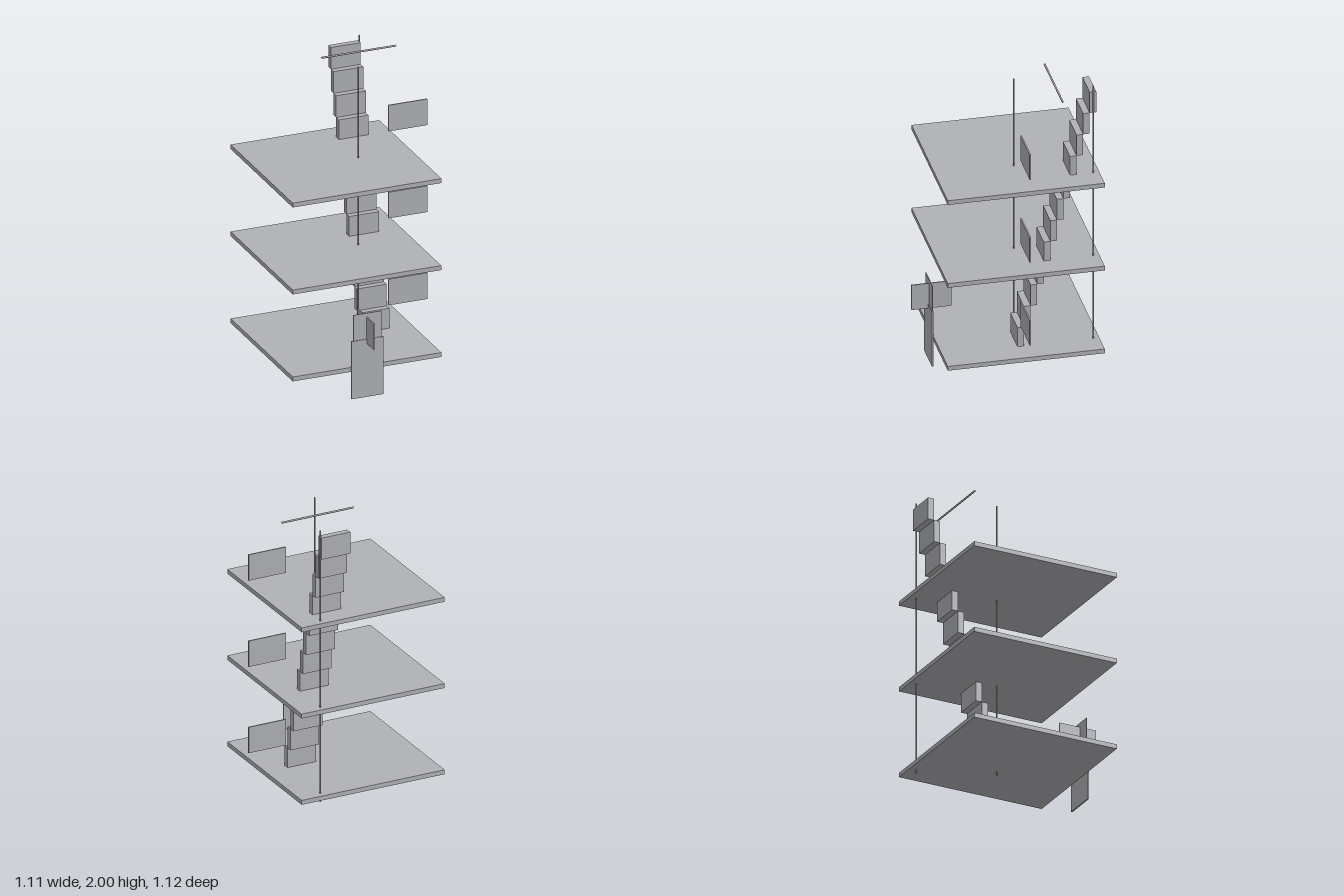
import * as THREE from 'three';

export function createModel() {
  const root = new THREE.Group();
  root.name = 'stairTower';
  const grey = new THREE.MeshStandardMaterial({ color: 0xb0b1b5 });
  grey.name = 'concreteGrey';

  // Box given by its extents on each axis
  const box = (name, [x0, x1], [y0, y1], [z0, z1]) => {
    const mesh = new THREE.Mesh(new THREE.BoxGeometry(x1 - x0, y1 - y0, z1 - z0), grey);
    mesh.name = name;
    mesh.position.set((x0 + x1) / 2, (y0 + y1) / 2, (z0 + z1) / 2);
    root.add(mesh);
    return mesh;
  };

  const storey = 0.587;
  for (let i = 0; i < 3; i++) {
    const y = i * storey;
    // Floor slab
    box('floor' + (i + 1), [-0.558, 0.442], [0.181 + y, 0.211 + y], [-0.558, 0.442]);
    // Projecting side panel on the near pole
    box('sidePanel' + (i + 1), [0.295, 0.555], [0.358 + y, 0.534 + y], [-0.063, -0.054]);
  }

  // Staircase climbing towards the back through all floors
  const rise = 0.1465, run = 0.0418;
  for (let i = 0; i < 12; i++) {
    const y = 0.199 + i * rise, z = -0.037 - i * run;
    box('step' + (i + 1), [0.092, 0.292], [y, y + rise], [z - run, z]);
  }

  // Slender poles beside the stairs
  for (const [name, x, z] of [['frontPole', 0.092, -0.058], ['backPole', 0.292, -0.518]]) {
    const pole = new THREE.Mesh(new THREE.CylinderGeometry(0.0045, 0.0045, 1.845, 12), grey);
    pole.name = name;
    pole.position.set(x, 1.0775, z);
    root.add(pole);
  }

  // Horizontal rod at the top
  const rod = new THREE.Mesh(new THREE.CylinderGeometry(0.006, 0.006, 0.5, 12), grey);
  rod.name = 'topRod';
  rod.rotation.z = Math.PI / 2;
  rod.position.set(0.192, 1.994, -0.29);
  root.add(rod);

  // Entrance: door, panel above it and blade panel crossing it
  box('door', [-0.167, 0.049], [0, 0.388], [0.441, 0.452]);
  box('transomPanel', [-0.153, 0.038], [0.375, 0.562], [0.443, 0.447]);
  box('bladePanel', [-0.063, -0.055], [0.358, 0.534], [0.302, 0.558]);

  return root;
}
